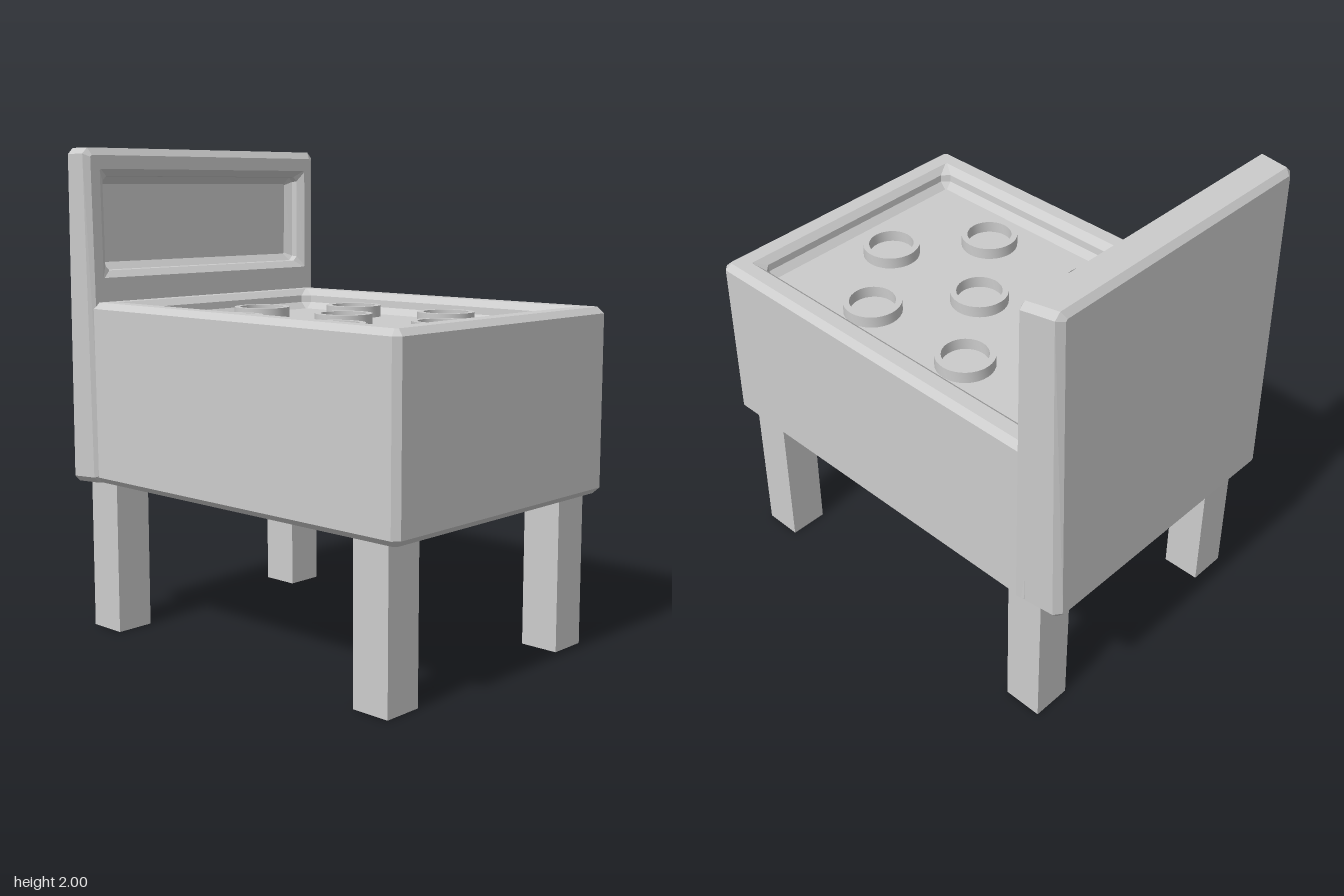
import * as THREE from 'three';
import { toCreasedNormals } from 'three/addons/utils/BufferGeometryUtils.js';

const material = new THREE.MeshStandardMaterial({ color: 0xcccccc, flatShading: true });
const smooth = new THREE.MeshStandardMaterial({ color: 0xcccccc });

// Rectangle with cut corners, counter-clockwise in (u, v)
function cutRect([u0, u1, v0, v1, w, c]) {
  return [
    [u0 + c, v0], [u1 - c, v0], [u1, v0 + c], [u1, v1 - c],
    [u1 - c, v1], [u0 + c, v1], [u0, v1 - c], [u0, v0 + c],
  ].map(([u, v]) => [u, v, w]);
}

// Solid skinned through successive cut rectangles, closed at both ends.
// place(u, v, w) returns [x, y, z].
function skin(sections, place) {
  const loops = sections.map(s => cutRect(s).map(p => place(...p)));
  const pos = [];
  const tri = (a, b, c) => pos.push(...a, ...b, ...c);
  for (let k = 0; k + 1 < loops.length; k++) {
    const a = loops[k], b = loops[k + 1];
    for (let i = 0; i < 8; i++) {
      const j = (i + 1) % 8;
      tri(a[i], a[j], b[j]);
      tri(a[i], b[j], b[i]);
    }
  }
  const first = loops[0], last = loops[loops.length - 1];
  for (let i = 1; i < 7; i++) {
    tri(first[0], first[i + 1], first[i]);
    tri(last[0], last[i], last[i + 1]);
  }
  const g = new THREE.BufferGeometry();
  g.setAttribute('position', new THREE.Float32BufferAttribute(pos, 3));
  g.computeVertexNormals();
  return g;
}

export function createModel() {
  const model = new THREE.Group();
  const add = (name, geometry, mat = material) => {
    const mesh = new THREE.Mesh(geometry, mat);
    mesh.name = name;
    model.add(mesh);
    return mesh;
  };

  // Cabinet with bevelled edges and a shallow sunken playfield: z0, z1, x0, x1, y, corner
  add('cabinet', skin([
    [-0.605, 0.615, -0.76, 0.878, 0.63, 0.01],
    [-0.63, 0.64, -0.785, 0.903, 0.655, 0.025],
    [-0.63, 0.64, -0.785, 0.903, 1.352, 0.025],
    [-0.605, 0.615, -0.76, 0.878, 1.377, 0.01],
    [-0.546, 0.555, -0.668, 0.813, 1.377, 0.005],
    [-0.517, 0.525, -0.64, 0.787, 1.35, 0.03],
    [-0.515, 0.522, -0.638, 0.785, 1.32, 0.03],
    [-0.488, 0.495, -0.61, 0.757, 1.292, 0.005],
  ], (z, x, y) => [x, y, z]));

  // Upright back panel, slightly thinner at the top and narrower at the bottom:
  // y0, y1, z0, z1, x, corner
  add('backPanel', skin([
    [0.635, 1.975, -0.6, 0.615, -0.905, 0.008],
    [0.615, 2.0, -0.63, 0.64, -0.88, 0.025],
    [0.63, 2.0, -0.66, 0.66, -0.724, 0.025],
    [0.655, 1.97, -0.635, 0.635, -0.7, 0.008],
    [1.475, 1.915, -0.595, 0.59, -0.7, 0.005],
    [1.503, 1.887, -0.567, 0.56, -0.73, 0.02],
    [1.505, 1.885, -0.565, 0.558, -0.762, 0.02],
    [1.535, 1.855, -0.535, 0.53, -0.792, 0.005],
  ], (y, z, x) => {
    const t = (y - 0.63) / 1.37;
    const narrow = z < 0 ? 0.96 : 0.99;
    return [
      -0.82 + (x + 0.82) * (1 - 0.225 * t),
      y,
      z * (narrow + (1 - narrow) * t),
    ];
  }));

  // Four square legs
  for (const [x, sideX] of [[-0.728, 'right'], [0.752, 'left']]) {
    for (const [z, sideZ] of [[0.517, 'Front'], [-0.508, 'Back']]) {
      add(`${sideX}${sideZ}Leg`, new THREE.BoxGeometry(0.164, 0.66, 0.165))
        .position.set(x, 0.33, z);
    }
  }

  // Round bumper rings on the playfield
  const profile = [[0.092, 0], [0.117, 0], [0.117, 0.05], [0.092, 0.05], [0.092, 0]]
    .map(([r, y]) => new THREE.Vector2(r, y));
  const ring = toCreasedNormals(new THREE.LatheGeometry(profile, 32), 0.6);
  [
    [-0.192, -0.348], [0.312, -0.353], [-0.416, -0.017], [0.057, -0.015],
    [0.557, -0.022], [-0.208, 0.34], [0.312, 0.309],
  ].forEach(([x, z], i) => {
    add(`bumperRing${i + 1}`, ring, smooth).position.set(x, 1.29, z);
  });

  return model;
}
